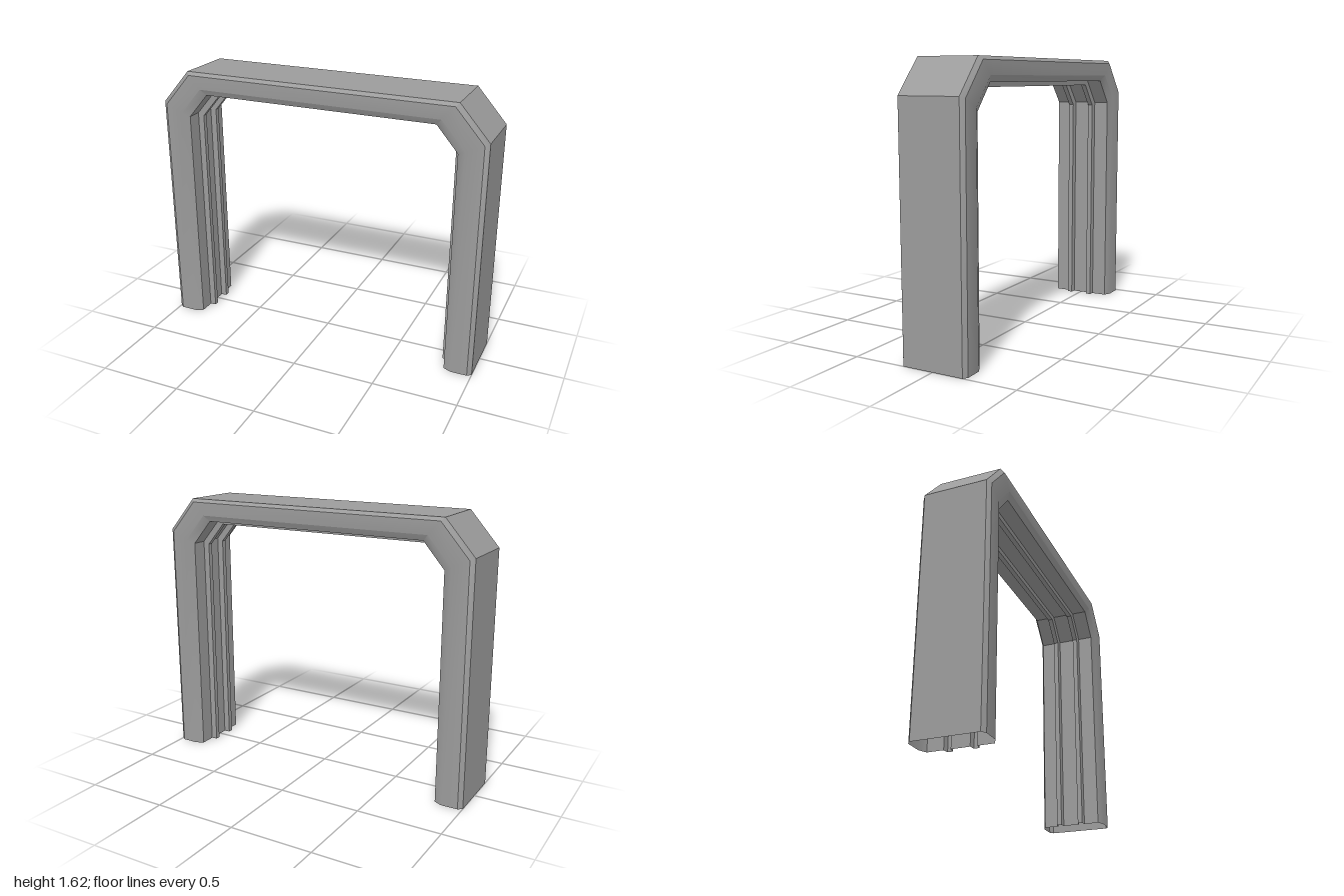
import * as THREE from 'three';
import { toCreasedNormals } from 'three/addons/utils/BufferGeometryUtils.js';

// Outer and inner outlines of the frame, left foot to right foot, matched point by point
const outer = [[-1, 0], [-1, 1.42], [-0.825, 1.62], [0.825, 1.62], [1, 1.42], [1, 0]];
const inner = [[-0.795, 0], [-0.795, 1.325], [-0.68, 1.46], [0.68, 1.46], [0.795, 1.325], [0.795, 0]];

// Front half of the cross-section: [fraction from outer to inner outline, z]
const half = [
  [0, 0.185], [0.12, 0.204], [0.61, 0.204], [0.83, 0.182], // chamfered front band
  [0.83, 0.09], [1, 0.086], [1, 0.056], [0.83, 0.052], // guide rail on the inside
];
const profile = [...half, ...half.map(([t, z]) => [t, -z]).reverse()];

// Sweeps the closed cross-section along both outlines, leaving the feet open
function sweepFrame() {
  const positions = [];
  const point = (i, j) => {
    const [t, z] = profile[j % profile.length];
    return [
      THREE.MathUtils.lerp(outer[i][0], inner[i][0], t),
      THREE.MathUtils.lerp(outer[i][1], inner[i][1], t),
      z,
    ];
  };
  for (let i = 0; i < outer.length - 1; i++) {
    for (let j = 0; j < profile.length; j++) {
      const a = point(i, j), b = point(i, j + 1), c = point(i + 1, j + 1), d = point(i + 1, j);
      positions.push(...a, ...c, ...b, ...a, ...d, ...c);
    }
  }
  const geometry = new THREE.BufferGeometry();
  geometry.setAttribute('position', new THREE.Float32BufferAttribute(positions, 3));
  // Soften only the shallow bend in the front band
  return toCreasedNormals(geometry, THREE.MathUtils.degToRad(30));
}

export function createModel() {
  const group = new THREE.Group();
  group.name = 'doorway';
  const material = new THREE.MeshStandardMaterial({ color: 0x9c9c9c, side: THREE.DoubleSide });
  const frame = new THREE.Mesh(sweepFrame(), material);
  frame.name = 'doorFrame';
  group.add(frame);
  return group;
}
